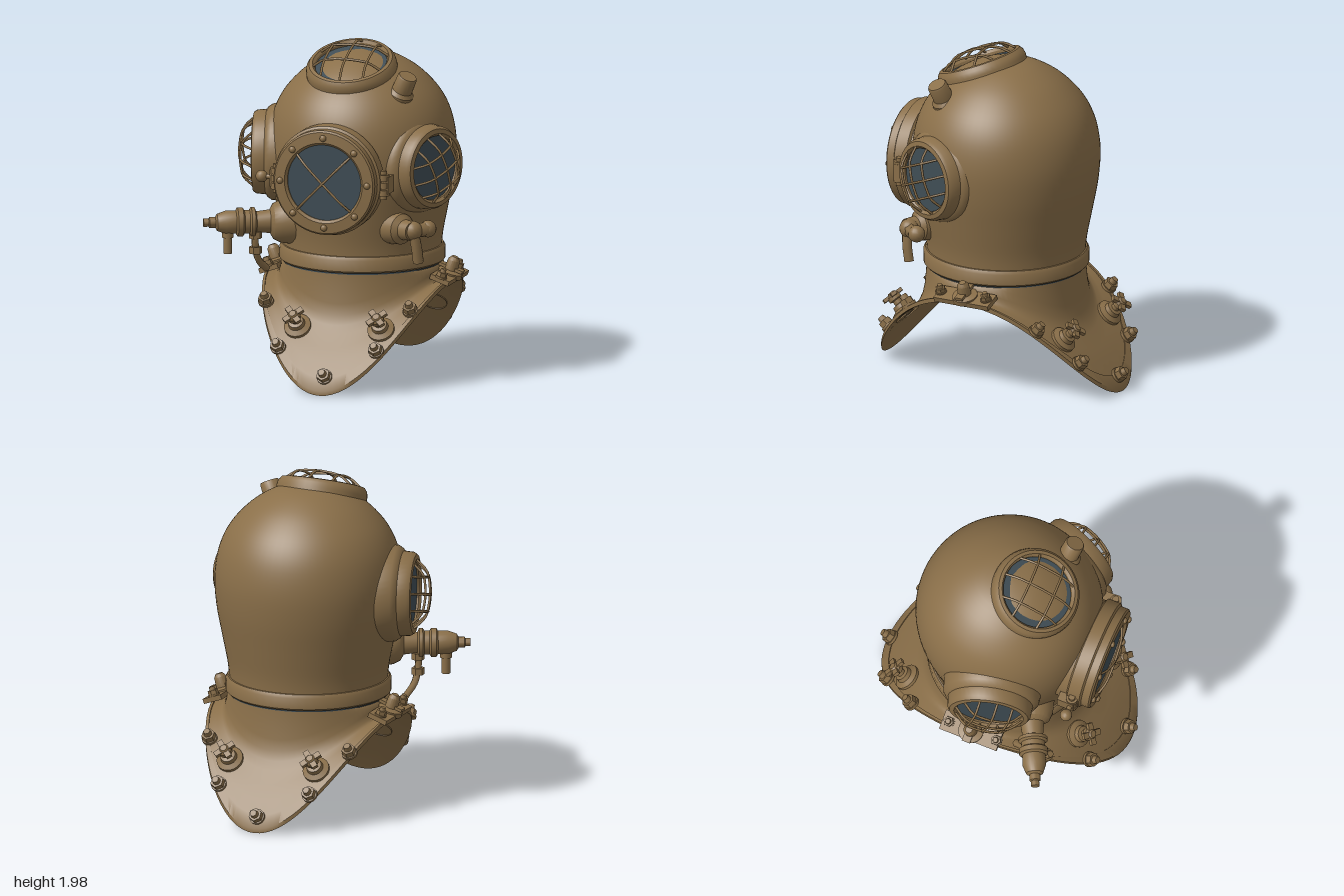
import * as THREE from 'three';
import { toCreasedNormals } from 'three/addons/utils/BufferGeometryUtils.js';

const brass = new THREE.MeshStandardMaterial({ color: 0x8a6f49, side: THREE.DoubleSide });
brass.name = 'brass';
const glass = new THREE.MeshStandardMaterial({ color: 0x3f4d55, side: THREE.DoubleSide });
glass.name = 'dark glass';

const CX = 0.055; // helmet axis
const UP = new THREE.Vector3(0, 1, 0);
const V = (x, y, z) => new THREE.Vector3(x, y, z);

function add(parent, name, geometry, material = brass, x = 0, y = 0, z = 0) {
  const m = new THREE.Mesh(geometry, material);
  m.name = name;
  m.position.set(x, y, z);
  parent.add(m);
  return m;
}

// group whose local +y points along the given direction
function mount(parent, name, pos, dir) {
  const g = new THREE.Group();
  g.name = name;
  g.position.copy(pos);
  g.quaternion.setFromUnitVectors(UP, dir.clone().normalize());
  parent.add(g);
  return g;
}

function lathe(points, segments = 48, crease = 0.6) {
  return toCreasedNormals(new THREE.LatheGeometry(points.map(p => new THREE.Vector2(p[0], p[1])), segments), crease);
}

const cyl = (r1, r2, h, n = 16) => new THREE.CylinderGeometry(r1, r2, h, n);

function pipe(parent, name, points, r) {
  return add(parent, name, new THREE.TubeGeometry(new THREE.CatmullRomCurve3(points), 14, r, 6));
}

// saddle-shaped shoulder surface
const saddleY = z => 0.59 - 0.58 * Math.pow(Math.abs(z) / 0.78, 2.2);
const saddleNormal = z => V(0, 1, Math.sign(z) * 1.636 * Math.pow(Math.abs(z) / 0.78, 1.2));

function collarGeometry() {
  // [spread from neck to rim, height above the saddle]
  const flare = [[0, 0.1], [0.05, 0.05], [0.13, 0.018], [0.25, 0.006], [0.45, 0.005], [0.65, 0.005],
    [0.84, 0.005], [0.85, 0.014], [1, 0.014], [1, -0.012], [0.65, -0.015], [0.25, -0.015], [0.08, 0.01], [-0.03, 0.08]];
  const N = 96, pos = [], idx = [];
  for (let i = 0; i <= N; i++) {
    const a = i / N * Math.PI * 2, c = Math.cos(a), s = Math.sin(a);
    const ring = [[0.465, 0.67]];
    pos.push(CX + c * 0.465, 0.67, s * 0.465);
    for (const [k, up] of flare) {
      const z = s * (0.475 + 0.3 * k);
      pos.push(CX + c * (0.475 + 0.085 * k), Math.min(saddleY(z) + up, 0.66), z);
    }
    pos.push(CX + c * 0.45, 0.67, s * 0.45);
    const M = flare.length + 2;
    if (i < N) for (let j = 0; j < M - 1 + ring.length - 1; j++) {
      const p = i * M + j, q = p + M;
      idx.push(p, q, p + 1, q, q + 1, p + 1);
    }
  }
  const g = new THREE.BufferGeometry();
  g.setAttribute('position', new THREE.Float32BufferAttribute(pos, 3));
  g.setIndex(idx);
  return toCreasedNormals(g, 0.7);
}

function bolt(parent, pos, dir, s = 1) {
  const g = mount(parent, 'collarBolt', pos, dir);
  add(g, 'washer', cyl(0.046, 0.046, 0.016), brass, 0, 0.016, 0);
  add(g, 'nut', toCreasedNormals(cyl(0.04, 0.042, 0.034, 6), 0.5), brass, 0, 0.04, 0);
  add(g, 'stud', cyl(0.02, 0.025, 0.03, 10), brass, 0, 0.07, 0);
  g.scale.setScalar(s);
}

function wingStud(parent, pos, dir) {
  const g = mount(parent, 'wingStud', pos, dir);
  add(g, 'studBody', lathe([[0.08, -0.02], [0.08, 0.02], [0.05, 0.035], [0.045, 0.06], [0.025, 0.065],
    [0.025, 0.09], [0.04, 0.095], [0.04, 0.12], [0.02, 0.145], [0, 0.145]], 20));
  for (let i = 0; i < 2; i++) {
    const w = add(g, 'wing', new THREE.BoxGeometry(0.13, 0.022, 0.035), brass, 0, 0.125, 0);
    w.rotation.y = Math.PI / 4 + i * Math.PI / 2;
  }
}

// bulged wire bars; across = offsets of bars along x, along = offsets of bars along z
function guard(parent, R, bulge, across, along) {
  const bar = (d, swap) => {
    const half = Math.sqrt(R * R - d * d), pts = [];
    for (let i = 0; i <= 6; i++) {
      const u = (i / 3 - 1) * half;
      const h = bulge * Math.sqrt(Math.max(0, 1 - (u * u + d * d) / (R * R)));
      pts.push(swap ? V(d, h, u) : V(u, h, d));
    }
    pipe(parent, 'guardBar', pts, 0.0075);
  };
  across.forEach(d => bar(d, false));
  along.forEach(d => bar(d, true));
}

function portWindow(parent, name, pos, dir, profile, glassR, glassY) {
  const g = mount(parent, name, pos, dir);
  add(g, 'windowRing', lathe(profile));
  add(g, 'windowGlass', cyl(glassR, glassR, 0.008, 40), glass, 0, glassY, 0);
  return g;
}

export function createModel() {
  const model = new THREE.Group();
  model.name = 'divingHelmet';

  // dome
  const dome = new THREE.SplineCurve([[0.462, 0.74], [0.472, 0.85], [0.505, 1.02], [0.538, 1.2], [0.549, 1.37],
    [0.528, 1.52], [0.48, 1.64], [0.405, 1.74], [0.3, 1.83], [0.16, 1.9], [0, 1.925]].map(p => new THREE.Vector2(...p)));
  add(model, 'dome', new THREE.LatheGeometry(dome.getPoints(40), 72), brass, CX, 0, 0);

  // neck ring, gasket and collar
  add(model, 'neckRing', lathe([[0.44, 0.68], [0.475, 0.68], [0.484, 0.69], [0.484, 0.755], [0.472, 0.775], [0.45, 0.78]], 64), brass, CX, 0, 0);
  add(model, 'gasket', lathe([[0.44, 0.655], [0.462, 0.655], [0.462, 0.682], [0.44, 0.682]], 64), glass, CX, 0, 0);
  add(model, 'collar', collarGeometry());

  // collar fasteners
  const bolts = [[0.07, 0.72], [0.35, 0.61], [0.49, 0.4], [-0.25, 0.62], [-0.4, 0.4],
    [0.05, -0.73], [0.34, -0.63], [0.49, -0.43], [-0.24, -0.63], [-0.4, -0.42]];
  for (const [x, z] of bolts) bolt(model, V(x, saddleY(z), z), saddleNormal(z));
  for (const [x, z] of [[-0.165, 0.52], [0.345, 0.51], [-0.23, -0.52], [0.32, -0.52]])
    wingStud(model, V(x, saddleY(z), z), saddleNormal(z));

  // shoulder clamps
  for (const side of [-1, 1]) {
    const g = mount(model, 'shoulderClamp', V(CX + side * 0.525, 0.605, -0.02), V(side * 0.35, 1, 0));
    add(g, 'clampPlate', new THREE.BoxGeometry(0.12, 0.03, 0.36), brass, 0, 0.005, 0);
    add(g, 'clampStud', lathe([[0.075, 0], [0.075, 0.03], [0.04, 0.04], [0.035, 0.1], [0.02, 0.12], [0, 0.12]], 18));
    add(g, 'clampWing', new THREE.BoxGeometry(0.15, 0.018, 0.05), brass, 0, 0.05, 0);
    for (const z of [-0.14, 0.16]) bolt(g, V(0, 0.01, z), UP, 0.75);
  }

  // side windows
  const sideRing = [[0.29, -0.2], [0.282, -0.11], [0.265, -0.085], [0.25, -0.075], [0.245, -0.02], [0.232, 0],
    [0.205, 0.005], [0.19, -0.01], [0.185, -0.06]];
  for (const [name, pos, dir] of [['leftWindow', V(0.595, 1.295, 0.25), V(0.92, 0, 0.38)],
    ['rightWindow', V(-0.57, 1.295, 0.13), V(-0.965, 0, 0.26)]]) {
    const g = portWindow(model, name, pos, dir, sideRing, 0.19, -0.025);
    guard(g, 0.2, 0.085, [-0.1, 0, 0.1], [-0.1, 0, 0.1]);
  }

  // top window
  const top = portWindow(model, 'topWindow', V(0.045, 1.885, 0.185), V(0, 0.934, 0.358),
    [[0.262, -0.14], [0.268, -0.05], [0.262, -0.02], [0.245, 0.002], [0.225, 0.006], [0.212, -0.01], [0.208, -0.06]], 0.212, -0.03);
  guard(top, 0.22, 0.065, [-0.08, 0.08], [-0.13, 0, 0.13]);

  // front window with bolts and crossed bars
  const front = portWindow(model, 'frontWindow', V(0.035, 1.245, 0.645), V(0, -0.03, 1),
    [[0.31, -0.24], [0.31, -0.15], [0.326, -0.14], [0.326, -0.065], [0.312, -0.055], [0.312, -0.01], [0.302, 0],
      [0.24, 0.005], [0.226, -0.01], [0.224, -0.05]], 0.228, -0.02);
  for (let i = 0; i < 8; i++) {
    const a = i * Math.PI / 4;
    const head = add(front, 'windowBolt', new THREE.SphereGeometry(0.02, 12, 8), brass, Math.cos(a) * 0.268, 0.005, Math.sin(a) * 0.268);
    head.scale.y = 0.8;
  }
  const cross = new THREE.Group();
  cross.name = 'crossBars';
  cross.rotation.y = Math.PI / 4;
  front.add(cross);
  guard(cross, 0.23, 0.03, [0], [0]);

  // hinge and latch beside the front window
  for (const side of [-1, 1]) {
    const g = new THREE.Group();
    g.name = side > 0 ? 'hinge' : 'latch';
    g.position.set(0.038 + side * 0.33, 1.235, 0.54);
    model.add(g);
    add(g, 'hingeBlock', new THREE.BoxGeometry(0.07, 0.1, 0.1), brass, 0, 0, -0.03);
    add(g, 'hingePin', cyl(0.02, 0.02, 0.17, 10));
    for (const y of [-0.045, 0, 0.045]) add(g, 'knuckle', cyl(0.034, 0.034, 0.036, 14), brass, 0, y, 0);
    if (side < 0) {
      const nut = mount(g, 'latchNut', V(-0.03, 0.005, 0), V(-1, 0, 0));
      add(nut, 'latchScrew', cyl(0.015, 0.015, 0.08, 10), brass, 0, 0.02, 0);
      add(nut, 'latchKnob', new THREE.SphereGeometry(0.036, 14, 10), brass, 0, 0.06, 0);
    }
  }

  // crown knob
  const knob = mount(model, 'crownKnob', V(0.36, 1.7, 0.23), V(0.42, 0.88, 0.2));
  add(knob, 'knobBody', lathe([[0.085, -0.06], [0.078, 0.03], [0.06, 0.05], [0.058, 0.14], [0.052, 0.15], [0, 0.15]], 24));

  // exhaust valve with hanging pipes
  const valve = mount(model, 'exhaustValve', V(-0.33, 0.93, 0.3), V(-0.9, 0, 0.43));
  add(valve, 'valveBody', lathe([[0.14, -0.07], [0.125, 0.02], [0.105, 0.06], [0.07, 0.08], [0.06, 0.16], [0.085, 0.17],
    [0.085, 0.19], [0.07, 0.2], [0.07, 0.23], [0.085, 0.24], [0.085, 0.27], [0.068, 0.28], [0.068, 0.34], [0.05, 0.39],
    [0.032, 0.4], [0.032, 0.435], [0.024, 0.44], [0.024, 0.47], [0, 0.47]], 24));
  add(model, 'drainPipe', cyl(0.026, 0.026, 0.17), brass, -0.625, 0.83, 0.44);
  add(model, 'drainCollar', cyl(0.034, 0.034, 0.04), brass, -0.625, 0.86, 0.44);
  pipe(model, 'feedPipe', [V(-0.48, 0.93, 0.37), V(-0.48, 0.8, 0.37), V(-0.475, 0.7, 0.33), V(-0.45, 0.63, 0.25)], 0.022);
  for (const y of [0.85, 0.76]) add(model, 'feedNut', toCreasedNormals(cyl(0.038, 0.038, 0.04, 6), 0.5), brass, -0.48, y, 0.365);

  // air inlet elbow
  const inlet = mount(model, 'airInlet', V(0.4, 0.945, 0.36), V(0.8, 0, 0.45));
  add(inlet, 'inletFlange', lathe([[0.1, -0.06], [0.09, 0.03], [0.06, 0.055], [0.055, 0.12], [0, 0.12]], 24));
  add(model, 'inletBall', new THREE.SphereGeometry(0.058, 18, 12), brass, 0.5, 0.945, 0.4);
  pipe(model, 'inletArm', [V(0.5, 0.945, 0.4), V(0.54, 0.945, 0.36), V(0.57, 0.945, 0.32)], 0.042);
  add(model, 'inletCap', new THREE.SphereGeometry(0.05, 16, 12), brass, 0.565, 0.945, 0.315);
  pipe(model, 'inletPipe', [V(0.51, 0.93, 0.41), V(0.525, 0.84, 0.4), V(0.53, 0.755, 0.385)], 0.032);

  return model;
}
